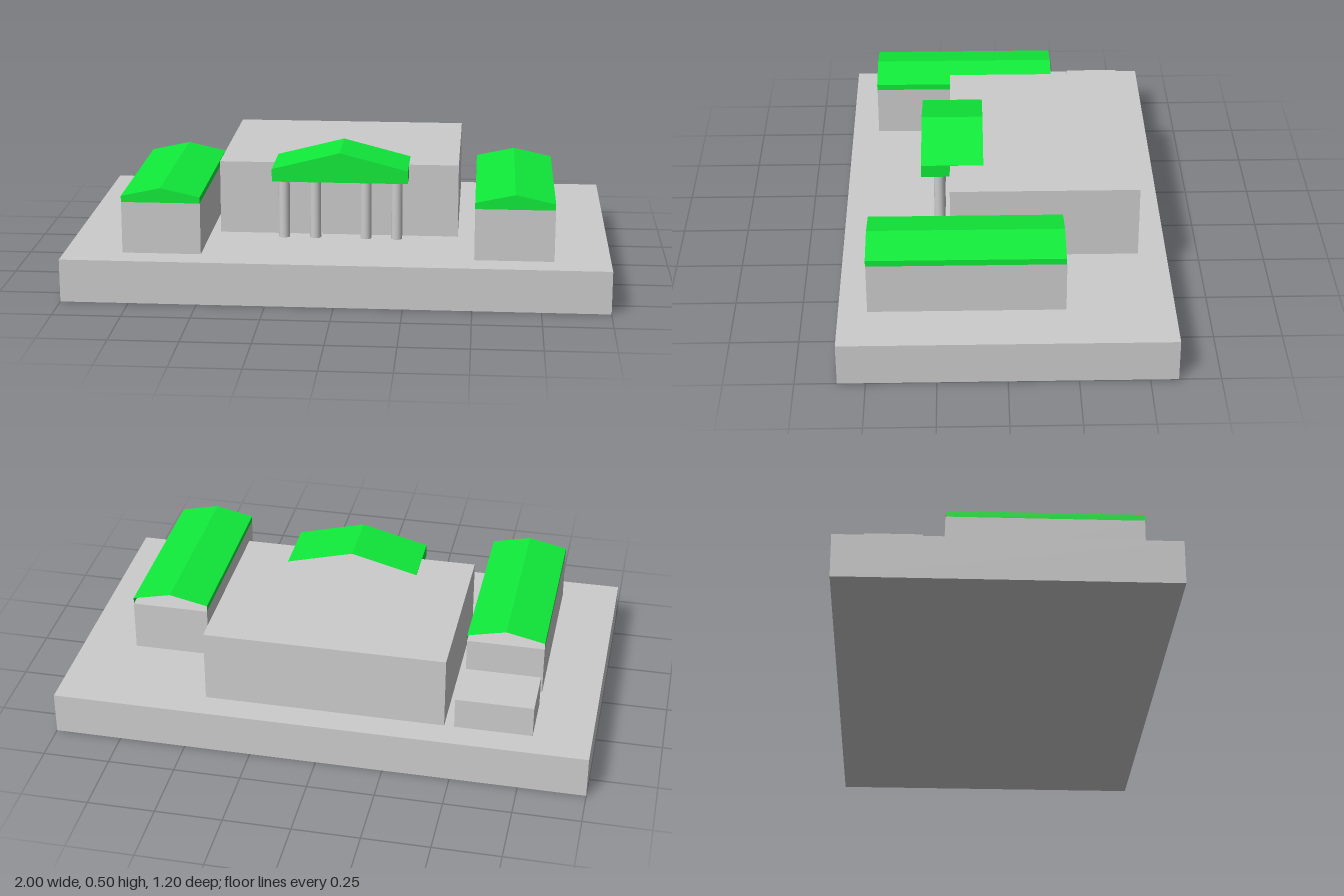
import * as THREE from 'three';

const grey = new THREE.MeshStandardMaterial({ color: 0xcccccc });
const green = new THREE.MeshStandardMaterial({ color: 0x10eb3a, side: THREE.DoubleSide });

// Box given by its extents on each axis
function block(name, x0, x1, y0, y1, z0, z1) {
  const mesh = new THREE.Mesh(new THREE.BoxGeometry(x1 - x0, y1 - y0, z1 - z0), grey);
  mesh.position.set((x0 + x1) / 2, (y0 + y1) / 2, (z0 + z1) / 2);
  mesh.name = name;
  return mesh;
}

// Gabled roof shell: side fascias, two slopes and a front gable, open at the back
function gableRoof(name, x0, x1, yBase, yEave, yRidge, zBack, zFront) {
  const roof = new THREE.Group();
  roof.name = name;
  const profile = [
    [x1, yBase], [x1, yEave], [(x0 + x1) / 2, yRidge], [x0, yEave], [x0, yBase],
  ];

  const gable = new THREE.Mesh(
    new THREE.ShapeGeometry(new THREE.Shape(profile.map(([x, y]) => new THREE.Vector2(x, y)))), green);
  gable.position.z = zFront;
  gable.name = 'frontGable';

  const points = [];
  for (let i = 0; i < profile.length - 1; i++) {
    const [a, b] = [profile[i], profile[i + 1]];
    points.push(...a, zFront, ...a, zBack, ...b, zBack);
    points.push(...a, zFront, ...b, zBack, ...b, zFront);
  }
  const shell = new THREE.BufferGeometry();
  shell.setAttribute('position', new THREE.Float32BufferAttribute(points, 3));
  shell.computeVertexNormals();
  const slopes = new THREE.Mesh(shell, green);
  slopes.name = 'roofSlopes';

  roof.add(gable, slopes);
  return roof;
}

export function createModel() {
  const model = new THREE.Group();
  model.name = 'buildingComplex';

  // Ground slab, main hall and small rear annex
  model.add(block('groundSlab', -1, 1, 0, 0.16, -0.6, 0.6));
  model.add(block('mainHall', -0.46, 0.44, 0.16, 0.437, -0.495, 0.2));
  model.add(block('rearAnnex', -0.785, -0.497, 0.16, 0.28, -0.495, -0.29));

  // Two side wings with gabled roofs
  for (const [side, x0] of [['right', -0.785], ['left', 0.505]]) {
    const x1 = x0 + 0.29;
    const wing = new THREE.Group();
    wing.name = side + 'Wing';
    wing.add(block('wingWalls', x0, x1, 0.16, 0.353, -0.212, 0.496));
    wing.add(gableRoof('wingRoof', x0, x1, 0.353, 0.376, 0.408, -0.21, 0.497));
    model.add(wing);
  }

  // Entrance portico: roof on four round columns
  const portico = new THREE.Group();
  portico.name = 'portico';
  portico.add(gableRoof('porticoRoof', -0.252, 0.254, 0.39, 0.438, 0.503, 0.075, 0.307));
  const columnGeometry = new THREE.CylinderGeometry(0.021, 0.021, 0.24, 16);
  for (const x of [-0.213, -0.095, 0.095, 0.211]) {
    const column = new THREE.Mesh(columnGeometry, grey);
    column.position.set(x, 0.28, 0.24);
    column.name = 'column';
    portico.add(column);
  }
  model.add(portico);

  return model;
}
